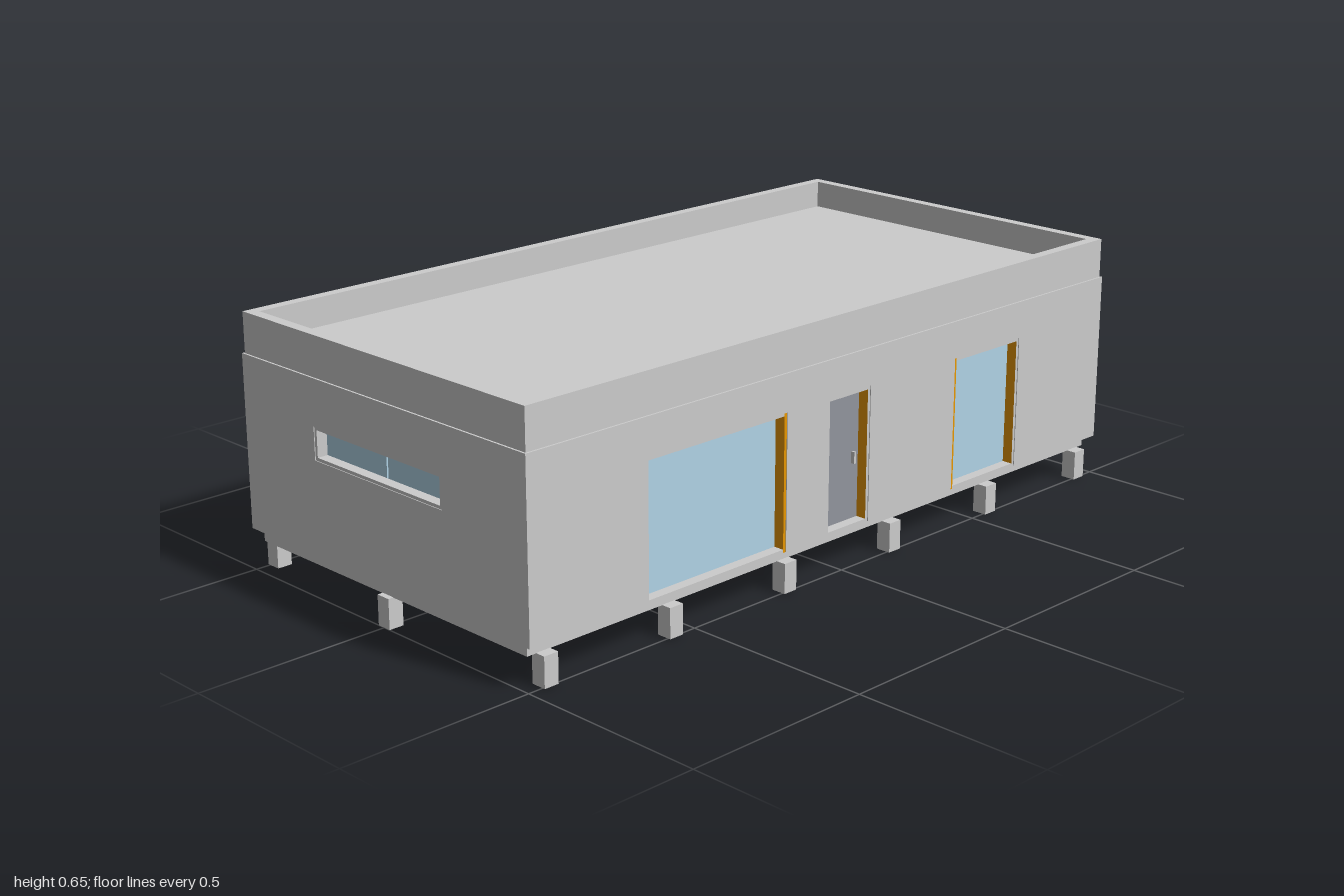
import * as THREE from 'three';

const material = (name, color, side = THREE.FrontSide) => {
  const m = new THREE.MeshStandardMaterial({ color, side });
  m.name = name;
  return m;
};

export function createModel() {
  const house = new THREE.Group();
  house.name = 'house';
  const grey = material('concrete grey', 0xcccccc);
  const glass = material('glass blue', 0xb1d3e6);
  const orange = material('jamb orange', 0xf5a000);
  const dark = material('door grey', 0x92959d);

  const BASE = 0.105, TOP = 0.545, HX = 1, HZ = 0.507, WALL = 0.06, RECESS = 0.03;

  // Box given by its minimum and maximum corners
  const box = (parent, name, mat, [x0, y0, z0], [x1, y1, z1]) => {
    const mesh = new THREE.Mesh(new THREE.BoxGeometry(x1 - x0, y1 - y0, z1 - z0), mat);
    mesh.position.set((x0 + x1) / 2, (y0 + y1) / 2, (z0 + z1) / 2);
    mesh.name = name;
    parent.add(mesh);
    return mesh;
  };

  const rectangle = (Type, x0, y0, x1, y1) => {
    const p = new Type();
    p.moveTo(x0, y0);
    p.lineTo(x1, y0);
    p.lineTo(x1, y1);
    p.lineTo(x0, y1);
    p.closePath();
    return p;
  };

  // Floor slab with a thin ledge above it
  box(house, 'floorSlab', grey, [-0.985, 0.075, -0.48], [0.985, 0.1, 0.48]);
  box(house, 'floorLedge', grey, [-0.99, 0.098, -0.495], [0.99, BASE, 0.495]);

  // Foundation posts: front and back rows, plus one in the middle of each end
  const post = (x, z) => box(house, 'post', grey, [x - 0.02, 0, z - 0.02], [x + 0.02, 0.076, z + 0.02]);
  for (let i = 0; i < 6; i++) {
    for (const z of [-0.487, 0.487]) post(-0.94 + i * 0.376, z);
  }
  for (const x of [-0.98, 0.98]) post(x, 0);

  // Frame, glazing or door leaf set into one opening
  const fillOpening = (wall, o) => {
    const f = 0.008, { x0, x1, y0, y1 } = o;
    const [leftFace, leftFront, rightFace, rightFront] = o.jambs || [grey, grey, grey, grey];
    box(wall, 'leftJamb', [leftFace, grey, grey, grey, leftFront, grey],
      [x0, y0, -RECESS], [x0 + f, y1, -0.002]);
    box(wall, 'rightJamb', [grey, rightFace, grey, grey, rightFront, grey],
      [x1 - f, y0, -RECESS], [x1, y1, -0.002]);
    box(wall, 'frameHead', grey, [x0 + f, y1 - f, -RECESS], [x1 - f, y1, -0.002]);
    box(wall, 'frameSill', grey, [x0 + f, y0, -RECESS], [x1 - f, y0 + f, -0.002]);
    if (o.door) {
      box(wall, 'doorLeaf', dark, [x0, y0, -0.045], [x1, y1, -RECESS]);
      box(wall, 'doorHandle', grey, [x1 - 0.032, 0.255, -RECESS], [x1 - 0.026, 0.285, -0.02]);
      return;
    }
    // Sliding panes sit on slightly different tracks
    const n = o.panes || 1, w = (x1 - x0) / n;
    for (let i = 0; i < n; i++) {
      const z = -RECESS - i * 0.004;
      box(wall, 'pane', glass, [x0 + i * w, y0, z - 0.008], [x0 + (i + 1) * w, y1, z]);
    }
  };

  // Wall facing +z in its own frame, with openings cut through
  const addWall = (name, half, position, turn, openings) => {
    const wall = new THREE.Group();
    wall.name = name;
    wall.position.set(...position);
    wall.rotation.y = turn;
    const shape = new THREE.Shape();
    shape.moveTo(-half, BASE);
    // Openings that reach the floor are notches, the rest are holes
    for (const o of openings) {
      if (o.y0 <= BASE) {
        shape.lineTo(o.x0, BASE);
        shape.lineTo(o.x0, o.y1);
        shape.lineTo(o.x1, o.y1);
        shape.lineTo(o.x1, BASE);
      } else {
        shape.holes.push(rectangle(THREE.Path, o.x0, o.y0, o.x1, o.y1));
      }
    }
    shape.lineTo(half, BASE);
    shape.lineTo(half, TOP);
    shape.lineTo(-half, TOP);
    shape.closePath();
    const geometry = new THREE.ExtrudeGeometry(shape, { depth: WALL, bevelEnabled: false });
    geometry.translate(0, 0, -WALL);
    const panel = new THREE.Mesh(geometry, grey);
    panel.name = name + 'Panel';
    wall.add(panel);
    openings.forEach((o) => fillOpening(wall, o));
    house.add(wall);
  };

  const tall = { y0: BASE, y1: 0.45 };
  addWall('frontWall', HX, [0, 0, HZ], 0, [
    { ...tall, x0: -0.655, x1: -0.205, panes: 2, jambs: [orange, grey, orange, orange] },
    { ...tall, x0: -0.065, x1: 0.085, door: true, jambs: [orange, grey, orange, grey] },
    { ...tall, x0: 0.4, x1: 0.655, panes: 2, jambs: [orange, orange, orange, grey] },
  ]);
  addWall('backWall', HX, [0, 0, -HZ], Math.PI, [
    { ...tall, x0: -0.655, x1: -0.4, panes: 2, jambs: [orange, orange, orange, orange] },
    { ...tall, x0: 0.205, x1: 0.655, panes: 2 },
  ]);
  addWall('leftWall', HZ - WALL, [HX, 0, 0], Math.PI / 2, [
    { x0: -0.25, x1: -0.135, y0: 0.25, y1: 0.48, jambs: [grey, grey, grey, orange] },
  ]);
  addWall('rightWall', HZ - WALL, [-HX, 0, 0], -Math.PI / 2, [
    { x0: -0.235, x1: 0.225, y0: 0.345, y1: 0.428, panes: 2 },
  ]);

  // Flat roof sunk behind a parapet
  box(house, 'roof', grey, [-0.97, 0.53, -0.477], [0.97, 0.575, 0.477]);
  const rim = rectangle(THREE.Shape, -0.995, -0.502, 0.995, 0.502);
  rim.holes.push(rectangle(THREE.Path, -0.967, -0.474, 0.967, 0.474));
  const parapet = new THREE.Mesh(
    new THREE.ExtrudeGeometry(rim, { depth: 0.647 - TOP, bevelEnabled: false }), grey);
  parapet.rotation.x = -Math.PI / 2;
  parapet.position.y = TOP;
  parapet.name = 'parapet';
  house.add(parapet);

  return house;
}
